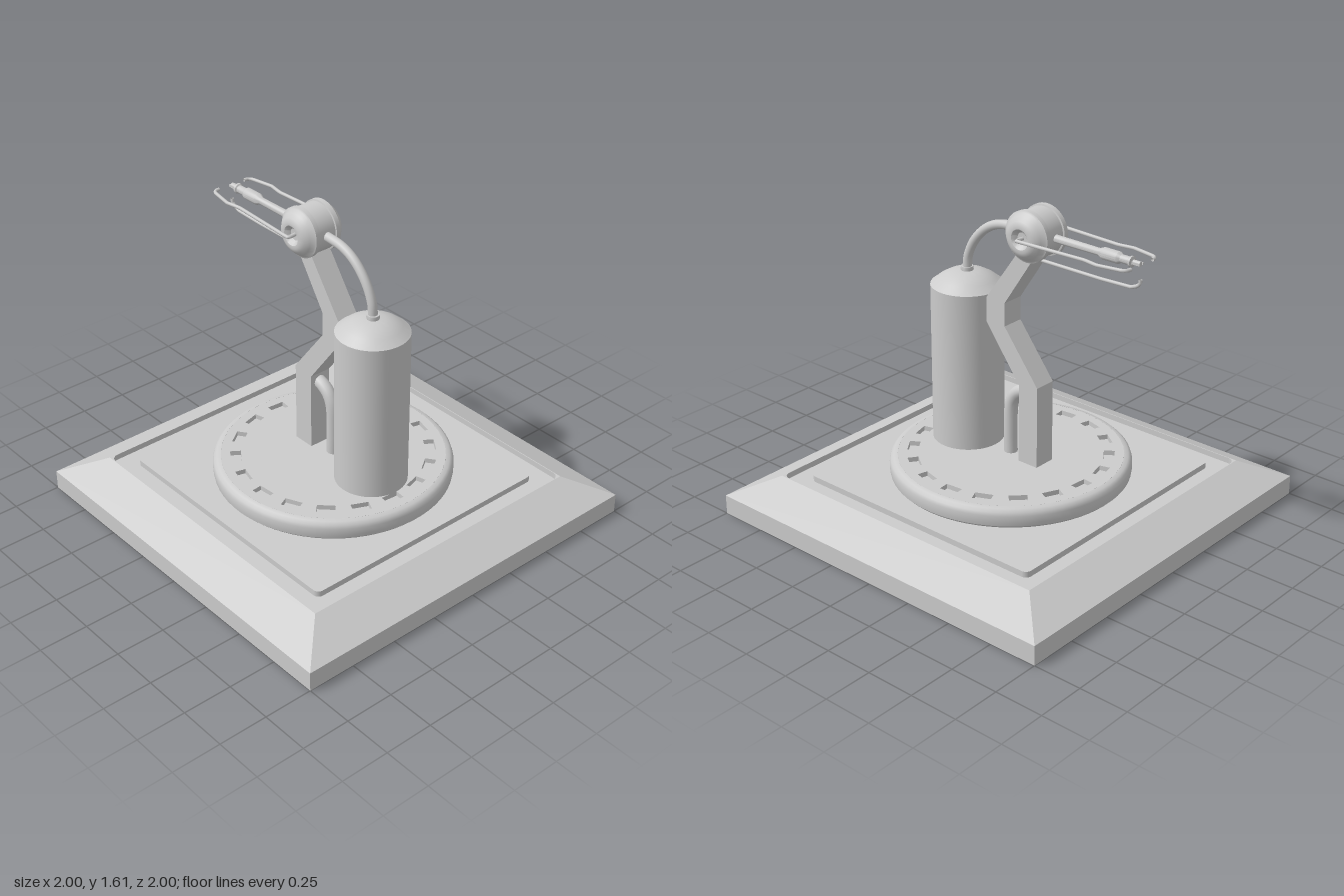
import * as THREE from 'three';
import { toCreasedNormals } from 'three/addons/utils/BufferGeometryUtils.js';

const material = new THREE.MeshStandardMaterial({ color: 0xcccccc, side: THREE.DoubleSide });
const v2 = ([x, y]) => new THREE.Vector2(x, y);

export function createModel() {
  const model = new THREE.Group();

  const add = (name, geometry, x = 0, y = 0, z = 0, parent = model) => {
    const mesh = new THREE.Mesh(geometry, material);
    mesh.name = name;
    mesh.position.set(x, y, z);
    parent.add(mesh);
    return mesh;
  };
  const lathe = (profile, segments = 48) =>
    toCreasedNormals(new THREE.LatheGeometry(profile.map(v2), segments), 0.6);
  // Extrudes a plan shape upwards
  const slab = (shape, depth) =>
    new THREE.ExtrudeGeometry(shape, { depth, bevelEnabled: false, curveSegments: 24 }).rotateX(-Math.PI / 2);
  // Tube in a smooth curve or, for bent rods, straight runs
  const tube = (points, radius, smooth = true) => {
    const pts = points.map((p) => new THREE.Vector3(...p));
    const curve = new THREE.CatmullRomCurve3(pts, false, 'catmullrom', smooth ? 0.5 : 0.05);
    return new THREE.TubeGeometry(curve, 40, radius, smooth ? 16 : 8);
  };
  const roundedSquare = (h, r, Type = THREE.Shape) => {
    const s = new Type();
    [[1, 1], [-1, 1], [-1, -1], [1, -1]].forEach(([sx, sy], i) =>
      s.absarc(sx * (h - r), sy * (h - r), r, (i * Math.PI) / 2, ((i + 1) * Math.PI) / 2, false));
    s.closePath();
    return s;
  };

  // Plinth: square foot, sloped sides, and a groove around a flat panel
  add('plinthFoot', new THREE.BoxGeometry(2, 0.1, 2), 0, 0.05, 0);
  const slope = new THREE.CylinderGeometry(0.8 * Math.SQRT2, Math.SQRT2, 0.1, 4, 1, true);
  add('plinthSlope', toCreasedNormals(slope.rotateY(Math.PI / 4), 0.3), 0, 0.15, 0);
  add('grooveFloor', new THREE.BoxGeometry(1.6, 0.07, 1.6), 0, 0.135, 0);
  const rim = roundedSquare(0.8, 0.002);
  rim.holes.push(roundedSquare(0.796, 0.04, THREE.Path));
  add('plinthRim', slab(rim, 0.03), 0, 0.17, 0);
  add('plinthPanel', slab(roundedSquare(0.7, 0.03), 0.03), 0, 0.17, 0);

  // Turntable: rounded disc with a ring of 18 slots
  add('turntableEdge', lathe([[0.585, 0.2], [0.597, 0.212], [0.6, 0.23], [0.6, 0.265], [0.594, 0.283],
    [0.58, 0.296], [0.56, 0.3]], 72));
  const top = new THREE.Shape().absarc(0, 0, 0.56, 0, Math.PI * 2, false);
  for (let i = 0; i < 18; i++) {
    const a = ((85 - i * 20) * Math.PI) / 180;
    const corners = [[-0.027, -0.045], [-0.027, 0.045], [0.027, 0.045], [0.027, -0.045]].map(([r, t]) =>
      v2([(0.485 + r) * Math.cos(a) - t * Math.sin(a), (0.485 + r) * Math.sin(a) + t * Math.cos(a)]));
    top.holes.push(new THREE.Path(corners));
  }
  add('turntableTop', slab(top, 0.025), 0, 0.275, 0);
  add('slotFloor', new THREE.CylinderGeometry(0.56, 0.56, 0.075, 48), 0, 0.2375, 0);

  // Upright tank with a domed lid and hose collar
  add('tank', lathe([[0, 0.3], [0.18, 0.3], [0.18, 1.12], [0.172, 1.125], [0.14, 1.152], [0.1, 1.175],
    [0.06, 1.188], [0, 1.192]]), 0, 0, 0.28);
  add('hoseCollar', lathe([[0.03, 1.18], [0.032, 1.195], [0.03, 1.21], [0.02, 1.21]], 24), 0, 0, 0.28);

  // Bent arm
  const side = new THREE.Shape([[-0.215, 0.29], [-0.1, 0.29], [-0.1, 0.71], [0.105, 0.985], [0.105, 1.11],
    [-0.1, 1.4], [-0.2, 1.4], [-0.01, 1.11], [-0.01, 0.99], [-0.215, 0.725]].map(v2));
  const arm = new THREE.ExtrudeGeometry(side, { depth: 0.116, bevelEnabled: false });
  add('arm', arm.rotateY(-Math.PI / 2), 0.058, 0, 0);

  // Hoses
  add('lowerHose', tube([[0, 0.29, 0], [0, 0.4, 0.002], [0, 0.54, -0.002], [0, 0.61, -0.025],
    [0, 0.65, -0.07], [0, 0.668, -0.13]], 0.034));
  add('upperHose', tube([[0, 1.185, 0.28], [0, 1.27, 0.27], [0, 1.36, 0.225], [0, 1.435, 0.15],
    [0, 1.475, 0.06], [0, 1.486, -0.06]], 0.023));

  // Head: drum on a sideways axis with raised bands and dished caps
  const head = new THREE.Group();
  head.name = 'head';
  head.position.set(0, 1.485, -0.157);
  model.add(head);
  const half = [[0.118, 0], [0.118, 0.048], [0.126, 0.05], [0.126, 0.074], [0.117, 0.078], [0.104, 0.096],
    [0.085, 0.114], [0.065, 0.124], [0.05, 0.123], [0.038, 0.113], [0.03, 0.1], [0, 0.098]];
  const drum = [...half.slice(1).reverse().map(([r, x]) => [r, -x]), ...half];
  add('headDrum', lathe(drum).rotateZ(-Math.PI / 2), 0, 0, 0, head);

  // Central probe pointing backwards, with a stepped nozzle
  const probe = lathe([[0.02, 0.08], [0.018, 0.37], [0.029, 0.395], [0.029, 0.48], [0.02, 0.495], [0.02, 0.54],
    [0.026, 0.545], [0.026, 0.555], [0.012, 0.56], [0.012, 0.6], [0, 0.6]], 20);
  add('probe', probe.rotateX(-Math.PI / 2), 0, 0, 0, head);
  for (const s of [-1, 1])
    add('probeProng', new THREE.BoxGeometry(0.006, 0.012, 0.06), s * 0.012, 0, -0.575, head);

  // Side claws and a lower claw, tips hooked towards the probe
  for (const s of [-1, 1]) {
    add('sideClaw', tube([[s * 0.095, 0, 0], [s * 0.143, 0, 0.005], [s * 0.143, 0, -0.03], [s * 0.125, 0, -0.38],
      [s * 0.138, 0, -0.46], [s * 0.115, 0, -0.585], [s * 0.102, 0, -0.602], [s * 0.078, 0, -0.605]],
    0.009, false), 0, 0, 0, head);
  }
  add('lowerClaw', tube([[0, -0.1, 0], [0, -0.128, -0.03], [0, -0.128, -0.38], [0, -0.122, -0.55],
    [0, -0.108, -0.585], [0, -0.095, -0.6], [0, -0.073, -0.602]], 0.009, false), 0, 0, 0, head);

  return model;
}
